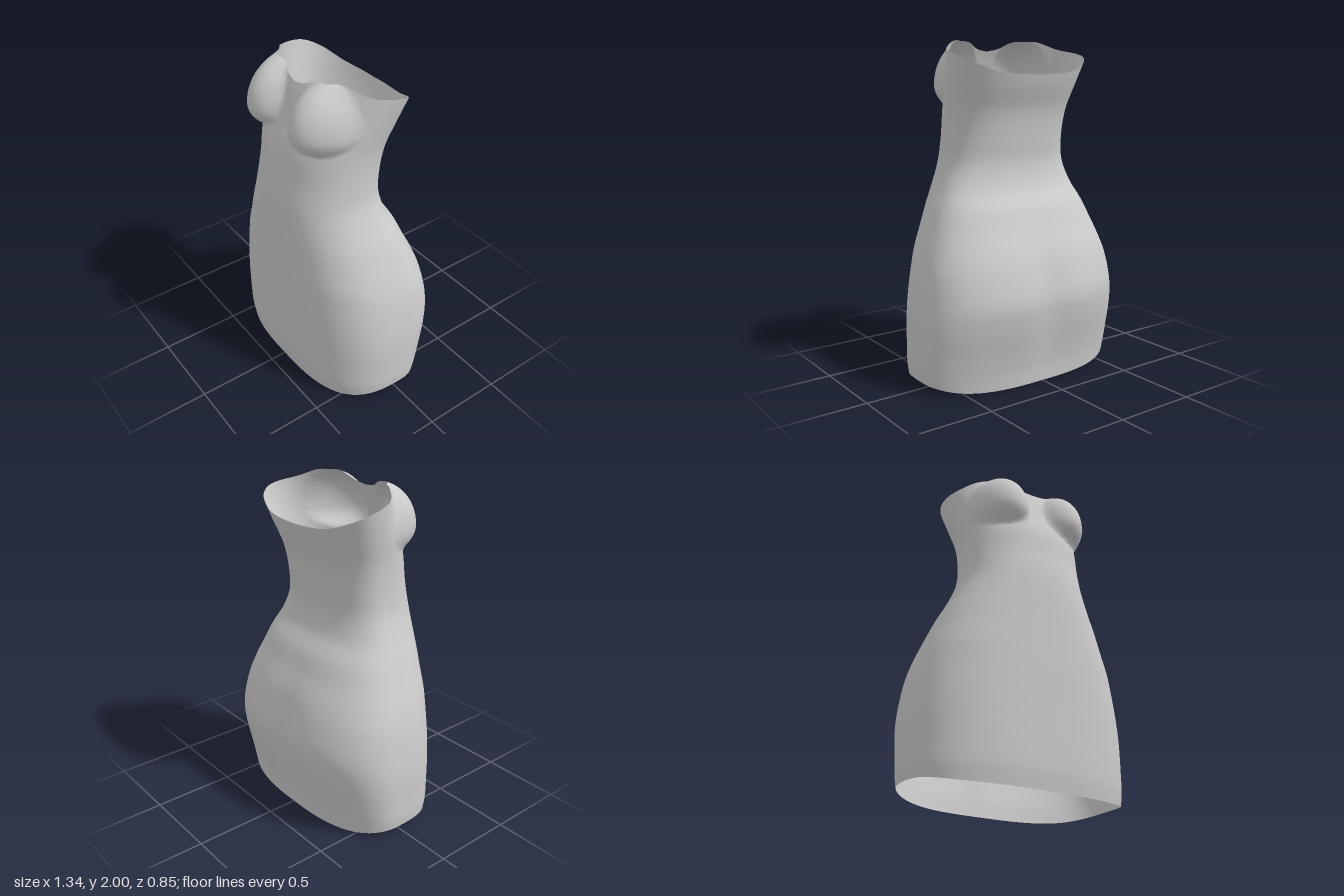
import * as THREE from 'three';
import { mergeVertices } from 'three/addons/utils/BufferGeometryUtils.js';

// smooth curve through rows of [position, value, value, ...]
function track(rows) {
  const stride = rows[0].length - 1;
  const curve = new THREE.CubicInterpolant(
    rows.map((r) => r[0]), rows.flatMap((r) => r.slice(1)), stride, new Float32Array(stride));
  return (t) => Array.from(curve.evaluate(t));
}

// height, half width, front z, back z, z of widest point, front roundness, back roundness
const body = track([
  [0.00, 0.655, 0.400, -0.320, -0.02, 2.8, 2.4],
  [0.10, 0.668, 0.415, -0.335, -0.03, 2.8, 2.4],
  [0.20, 0.670, 0.420, -0.360, -0.04, 2.8, 2.4],
  [0.40, 0.668, 0.424, -0.415, -0.05, 2.8, 2.4],
  [0.52, 0.655, 0.426, -0.432, -0.05, 2.8, 2.4],
  [0.70, 0.625, 0.430, -0.395, -0.04, 2.7, 2.4],
  [0.80, 0.595, 0.430, -0.360, -0.02, 2.7, 2.4],
  [0.92, 0.550, 0.430, -0.300, 0.00, 2.6, 2.4],
  [1.04, 0.502, 0.430, -0.245, 0.03, 2.5, 2.4],
  [1.14, 0.455, 0.430, -0.180, 0.06, 2.4, 2.4],
  [1.28, 0.402, 0.425, -0.147, 0.08, 2.3, 2.4],
  [1.42, 0.387, 0.405, -0.160, 0.08, 2.2, 2.4],
  [1.60, 0.392, 0.380, -0.195, 0.04, 2.2, 2.4],
  [1.75, 0.420, 0.325, -0.260, -0.02, 2.1, 2.3],
  [1.92, 0.455, 0.265, -0.315, -0.09, 2.0, 2.3],
  [2.00, 0.468, 0.225, -0.330, -0.11, 2.0, 2.3],
]);

// neckline height by angle, from the front centre round to the back centre
const neckline = track([
  [0, 1.94], [0.17, 1.955], [0.33, 1.992], [0.5, 2], [0.7, 1.998], [1.05, 1.955],
  [1.57, 1.92], [2.1, 1.872], [2.6, 1.82], [Math.PI, 1.805],
]);

// push the front out over the two rounded cups
function cups(x, y, z) {
  const dx = (Math.abs(x) - 0.2) / 0.19;
  const dy = (y - 1.74) / (y > 1.74 ? 0.28 : 0.17);
  const d = 1 - dx * dx - dy * dy;
  return d > 0 ? Math.max(z, 0.1 + 0.32 * Math.sqrt(d)) : z;
}

function dressPoint(u, v, target) {
  const angle = u * Math.PI * 2;
  const s = Math.sin(angle), c = Math.cos(angle);
  const fromFront = Math.min(angle, Math.PI * 2 - angle);
  const hem = 0.048 * Math.abs(s) ** 4;
  const y = THREE.MathUtils.lerp(hem, neckline(fromFront)[0], v);
  const [w, front, back, mid, nFront, nBack] = body(y);
  const power = 2 / (c > 0 ? nFront : nBack);
  const x = Math.sign(s) * w * Math.abs(s) ** power;
  let z = mid + ((c > 0 ? front : back) - mid) * Math.abs(c) ** power;
  if (c > 0) z = cups(x, y, z);
  // shallow hollow down the back of the skirt
  else z += 0.03 * Math.exp(-((x / 0.12) ** 2) - ((y - 0.5) / 0.3) ** 2);
  target.set(x, y, z);
}

// open shell: a grid wrapped round the body
function dressGeometry(cols, rows) {
  const geometry = new THREE.PlaneGeometry(1, 1, cols, rows);
  const position = geometry.attributes.position;
  const p = new THREE.Vector3();
  for (let i = 0; i < position.count; i++) {
    const u = (i % (cols + 1)) % cols / cols;
    dressPoint(u, 1 - Math.floor(i / (cols + 1)) / rows, p);
    position.setXYZ(i, p.x, p.y, p.z);
  }
  geometry.deleteAttribute('uv');
  geometry.deleteAttribute('normal');
  const welded = mergeVertices(geometry, 1e-5);
  welded.computeVertexNormals();
  return welded;
}

export function createModel() {
  const group = new THREE.Group();
  group.name = 'straplessDress';
  const material = new THREE.MeshStandardMaterial({ color: 0xcccccc, side: THREE.DoubleSide });
  const dress = new THREE.Mesh(dressGeometry(128, 100), material);
  dress.name = 'dressShell';
  group.add(dress);
  return group;
}
